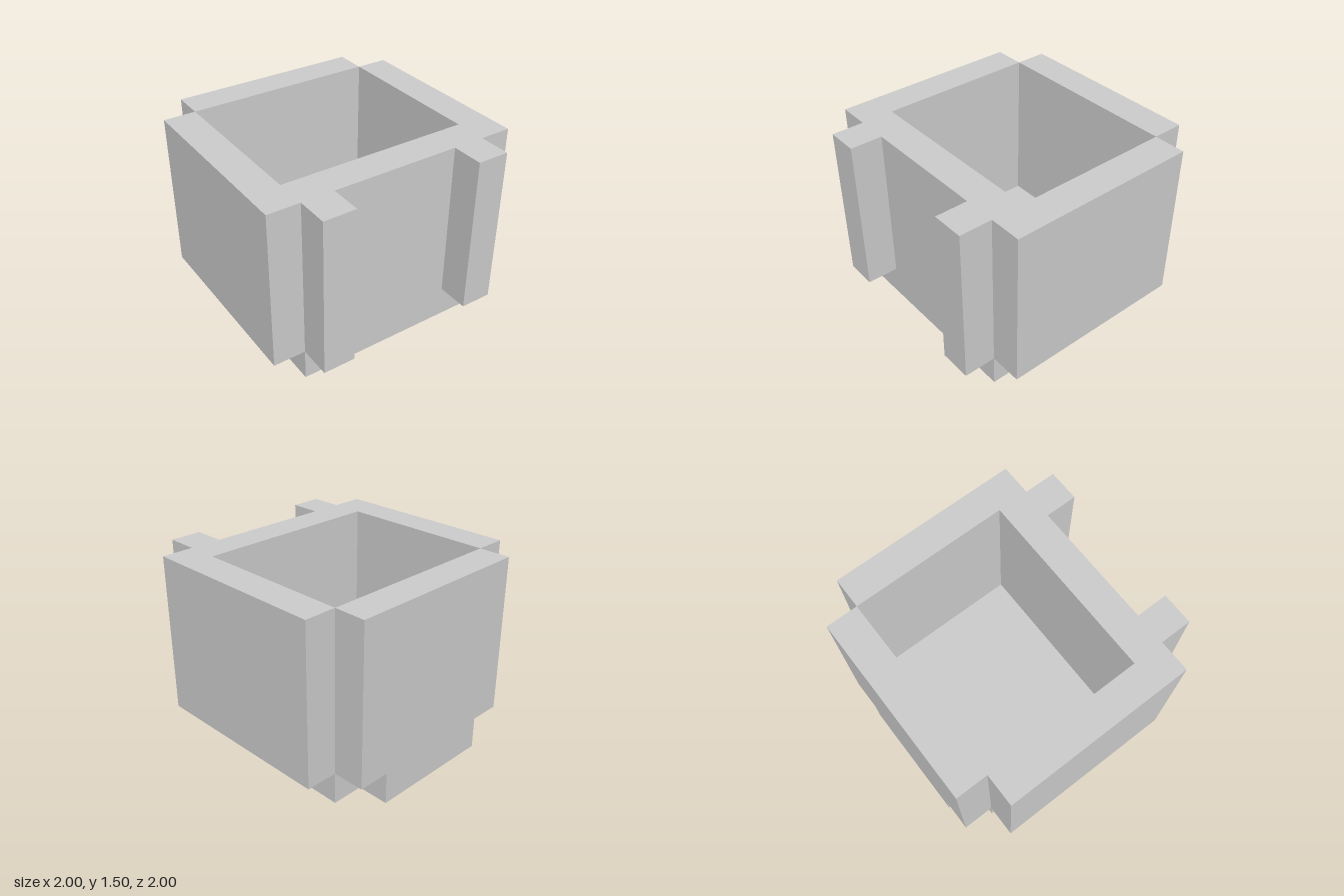
import * as THREE from 'three';

// Extrude a plan upwards from y0 to y1; the plan is its +x half as [x, z] corners, mirrored to -x.
function prism(name, half, y0, y1, material) {
  const mirrored = half.map(([x, z]) => [-x, z]).reverse();
  const corners = [...half, ...mirrored].map(([x, z]) => new THREE.Vector2(x, -z));
  const geometry = new THREE.ExtrudeGeometry(new THREE.Shape(corners), {
    depth: y1 - y0,
    bevelEnabled: false,
  });
  geometry.rotateX(-Math.PI / 2).translate(0, y0, 0);
  const mesh = new THREE.Mesh(geometry, material);
  mesh.name = name;
  return mesh;
}

export function createModel() {
  const model = new THREE.Group();
  model.name = 'openBox';
  const grey = new THREE.MeshStandardMaterial({ color: 0xcccccc, flatShading: true });

  // Floor slab with a narrower tab under the back wall
  model.add(prism('floor', [
    [0.75, 0.75], [0.75, -0.75], [0.5, -0.75], [0.5, -1],
  ], 0, 0.25, grey));

  // Side walls, front wall and the two front ribs as one U-shaped plan
  model.add(prism('sideAndFrontWalls', [
    [0.75, 0.5], [0.75, -0.75], [1, -0.75], [1, 0.75],
    [0.75, 0.75], [0.75, 1], [0.5, 1], [0.5, 0.75],
  ], 0.25, 1.5, grey));

  // Back wall, meeting the side walls only along its inner edges
  model.add(prism('backWall', [[0.75, -0.75], [0.75, -1]], 0.25, 1.5, grey));

  return model;
}
